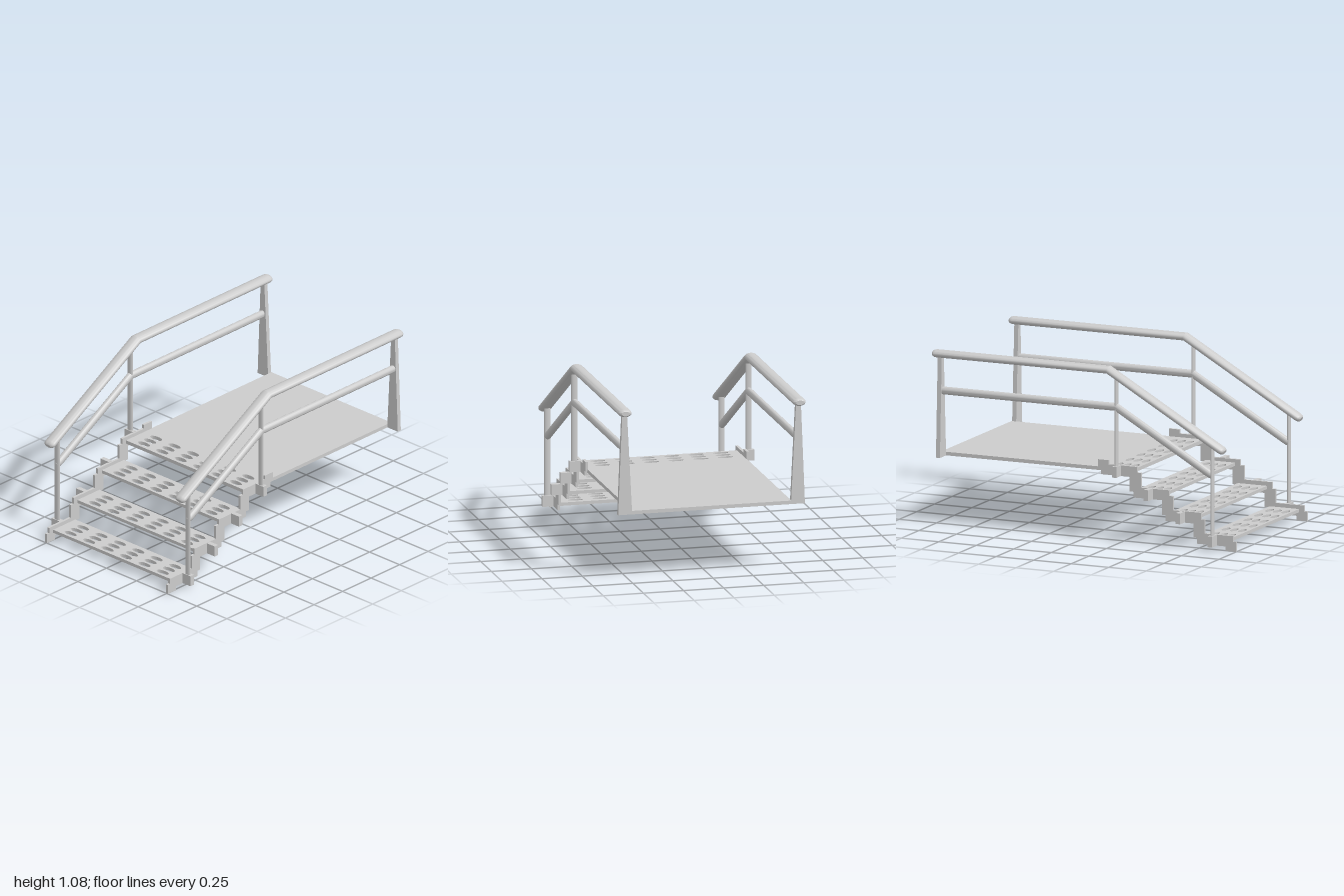
import * as THREE from 'three';
import { toCreasedNormals } from 'three/addons/utils/BufferGeometryUtils.js';

const material = new THREE.MeshStandardMaterial({ color: 0xcccccc });

function add(parent, name, geometry, x = 0, y = 0, z = 0) {
  const mesh = new THREE.Mesh(geometry, material);
  mesh.name = name;
  mesh.position.set(x, y, z);
  parent.add(mesh);
}

const shapeOf = (pts) => new THREE.Shape(pts.map(([a, b]) => new THREE.Vector2(a, b)));
const extrude = (shape, depth) =>
  new THREE.ExtrudeGeometry(shape, { depth, bevelEnabled: false, curveSegments: 10 });

// Oval bar swept along [z, y] points, mitred at bends, with rounded ends
function railGeometry(path, rx, r) {
  const sides = 24;
  const pts = path.map(([z, y]) => new THREE.Vector2(z, y));
  const dirs = pts.slice(1).map((p, i) => p.clone().sub(pts[i]).normalize());
  const rings = [];
  const endSteps = [[0, 0], [0, 0.6], [0.2, 0.78], [0.55, 0.93], [1.1, 1]];
  pts.forEach((p, i) => {
    const a = dirs[Math.max(i - 1, 0)], b = dirs[Math.min(i, dirs.length - 1)];
    const t = a.clone().add(b).normalize();
    const n = new THREE.Vector2(-t.y, t.x);
    const miter = 1 / t.dot(a);
    if (i === 0) {
      for (const [d, k] of endSteps) rings.push([p.clone().addScaledVector(t, d * r), n, k]);
    } else if (i === pts.length - 1) {
      for (const [d, k] of [...endSteps].reverse()) rings.push([p.clone().addScaledVector(t, -d * r), n, k]);
    } else rings.push([p, n, 1, miter]);
  });
  const position = [], index = [];
  rings.forEach(([c, n, k, miter = 1], j) => {
    for (let i = 0; i < sides; i++) {
      const w = (i / sides) * Math.PI * 2, v = Math.sin(w) * r * k * miter;
      position.push(Math.cos(w) * rx * k, c.y + n.y * v, c.x + n.x * v);
      if (j === 0) continue;
      const i2 = (i + 1) % sides, p = (j - 1) * sides, q = j * sides;
      index.push(p + i, p + i2, q + i, p + i2, q + i2, q + i);
    }
  });
  const g = new THREE.BufferGeometry();
  g.setAttribute('position', new THREE.Float32BufferAttribute(position, 3));
  g.setIndex(index);
  return toCreasedNormals(g, 0.5);
}

// Flat plate pierced by a 6 x 3 grid of oval holes
function plateGeometry(zBack, zFront, holeZ, thickness) {
  const w = 0.497;
  const shape = shapeOf([[-w, zBack], [w, zBack], [w, zFront], [-w, zFront]]);
  for (let row = -1; row <= 1; row++) {
    for (let col = 0; col < 6; col++) {
      const hole = new THREE.Path();
      hole.absellipse((col - 2.5) * 0.153, holeZ + row * 0.054, 0.047, 0.0205, 0, Math.PI * 2, true);
      shape.holes.push(hole);
    }
  }
  return extrude(shape, thickness).rotateX(Math.PI / 2);
}

// Stepped side plate outline as [z, y]
const stringerOutline = [
  [1, 0], [1, 0.06], [0.98, 0.06], [0.98, 0.095], [0.79, 0.095], [0.79, 0.18], [0.765, 0.18], [0.765, 0.22],
  [0.58, 0.22], [0.58, 0.305], [0.552, 0.305], [0.552, 0.34], [0.365, 0.34], [0.365, 0.43], [0.34, 0.43],
  [0.34, 0.465], [0.15, 0.465], [0.15, 0.49], [0.08, 0.49], [0.08, 0.43], [0.1, 0.43], [0.1, 0.4],
  [0.29, 0.4], [0.29, 0.31], [0.315, 0.31], [0.315, 0.275], [0.505, 0.275], [0.505, 0.185], [0.53, 0.185],
  [0.53, 0.15], [0.717, 0.15], [0.717, 0.064], [0.74, 0.064], [0.74, 0.028], [0.93, 0.028], [0.93, 0],
];

export function createModel() {
  const model = new THREE.Group();
  model.name = 'platformSteps';

  // Three treads, with the platform as the fourth step
  for (let i = 0; i < 3; i++) {
    const z = 0.856 - i * 0.213;
    add(model, 'tread', plateGeometry(z - 0.104, z + 0.09, z, 0.02), 0, 0.071 + i * 0.124);
  }
  add(model, 'platform', plateGeometry(-0.97, 0.307, 0.215, 0.022), 0, 0.443);

  for (const s of [1, -1]) {
    const side = new THREE.Group();
    side.name = s > 0 ? 'leftSide' : 'rightSide';
    model.add(side);

    // Stringer plate and outer brackets
    const stringer = extrude(shapeOf(stringerOutline), 0.016).translate(0, 0, -0.008).rotateY(-Math.PI / 2);
    add(side, 'stringer', stringer, s * 0.502);
    for (let i = 0; i < 4; i++) {
      add(side, 'bracket', new THREE.BoxGeometry(0.07, 0.067, 0.03), s * 0.541, 0.0615 + i * 0.124, 0.857 - i * 0.213);
    }

    // Slim oval posts
    for (const [z, y0, y1] of [[0.858, 0.08, 0.65], [0.219, 0.45, 1.02]]) {
      const post = new THREE.CylinderGeometry(0.01, 0.01, y1 - y0, 16).scale(1.95, 1, 1);
      add(side, 'post', post, s * 0.543, (y0 + y1) / 2, z);
    }

    // Tapered rear post
    const taper = shapeOf([[s * 0.495, 0.42], [s * 0.582, 0.42], [s * 0.557, 1.045], [s * 0.527, 1.045]]);
    add(side, 'rearPost', extrude(taper, 0.027), 0, 0, -0.966);

    // Handrail and middle rail
    add(side, 'handrail', railGeometry([[0.938, 0.614], [0.168, 1.055], [-1, 1.055]], 0.041, 0.024), s * 0.543);
    add(side, 'middleRail', railGeometry([[0.862, 0.46], [0.217, 0.83], [-0.957, 0.83]], 0.021, 0.024), s * 0.543);
  }
  return model;
}
